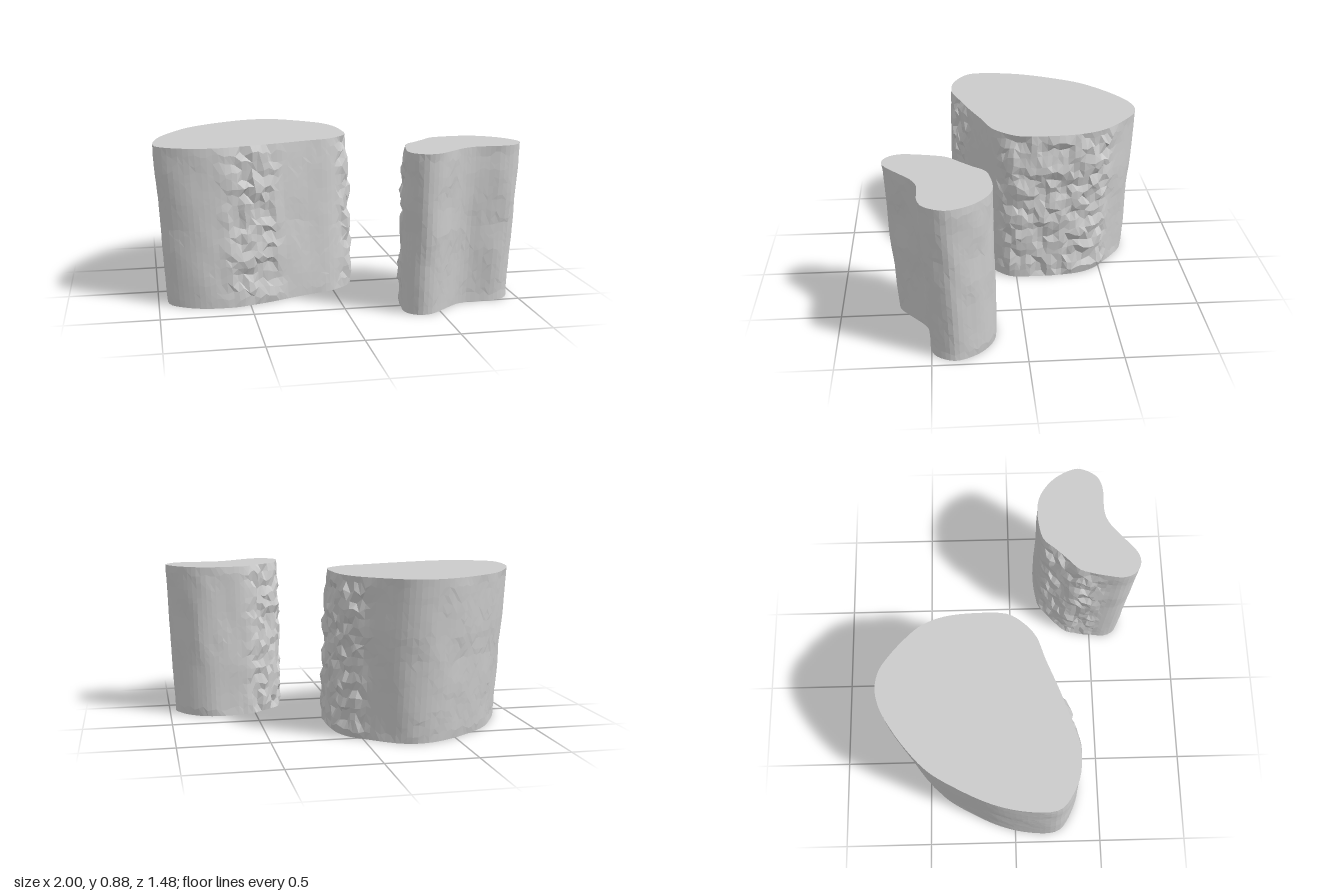
import * as THREE from 'three';

const HEIGHT = 0.885;
const ROWS = 20;

// Repeatable noise in 0..1 for a grid cell
function hash(i, j, seed) {
  const s = Math.sin(i * 127.1 + j * 311.7 + seed * 74.7) * 43758.5453;
  return s - Math.floor(s);
}

// Blended noise, periodic in u
function smoothNoise(u, v, period, seed) {
  const i = Math.floor(u), j = Math.floor(v), f = u - i, g = v - j;
  const h = (a, b) => hash(a % period, b, seed);
  const top = h(i, j) * (1 - f) + h(i + 1, j) * f;
  const low = h(i, j + 1) * (1 - f) + h(i + 1, j + 1) * f;
  return top * (1 - g) + low * g;
}

// A rock column: outline at the top, tapered to the foot, with rugged vertical bands.
// The outline runs clockwise seen from above; each band is [x, z, radius, bulge].
function rockColumn({ name, outline, center, count, taper, bands, seed }) {
  const curve = new THREE.CatmullRomCurve3(
    outline.map(([x, z]) => new THREE.Vector3(x, 0, z)), true, 'centripetal');
  const ring = curve.getSpacedPoints(count).slice(0, count);
  const positions = [], index = [];

  for (let j = 0; j <= ROWS; j++) {
    const t = j / ROWS;                      // 0 at the top, 1 at the foot
    const inner = j > 0 && j < ROWS;
    ring.forEach((p, i) => {
      const next = ring[(i + 1) % count], prev = ring[(i + count - 1) % count];
      const tangent = next.clone().sub(prev).normalize();
      let rough = 0, bulge = 0;
      for (const [x, z, radius, amount] of bands) {
        const w = Math.max(0, 1 - (Math.hypot(p.x - x, p.z - z) / radius) ** 2);
        rough = Math.max(rough, w);
        bulge = Math.max(bulge, w * amount);
      }
      // Gentle facets everywhere, jagged ledges inside the bands
      const facets = (smoothNoise(i * 24 / count, j * 0.3, 24, seed) - 0.5) * 0.014;
      const ledge = (hash(i >> 1, j, seed + 3) - 0.5) * 0.034 * rough;
      const swell = bulge * Math.min(1, t * 5);
      const out = swell + (inner ? facets + ledge : 0);
      const slide = inner ? (hash(i, j, seed + 5) - 0.5) * 0.014 * rough : 0;
      const lift = inner ? (hash(i, j, seed + 9) - 0.5) * 0.03 : 0;
      const [x, z] = taper(p.x, p.z);
      positions.push(
        p.x + (x - p.x) * t + tangent.z * out + tangent.x * slide,
        HEIGHT * (1 - t) + lift,
        p.z + (z - p.z) * t - tangent.x * out + tangent.z * slide);
    });
  }

  // Side faces, with the diagonal alternating for a chipped look
  for (let j = 0; j < ROWS; j++) {
    for (let i = 0; i < count; i++) {
      const k = (i + 1) % count;
      const a = j * count + i, b = j * count + k, c = a + count, d = b + count;
      if (hash(i, j, seed + 7) > 0.5) index.push(a, b, d, a, d, c);
      else index.push(a, b, c, b, d, c);
    }
  }

  // Flat cut faces at the top and the foot
  const topCenter = positions.length / 3, footCenter = topCenter + 1;
  const foot = taper(...center);
  positions.push(center[0], HEIGHT, center[1], foot[0], 0, foot[1]);
  for (let i = 0; i < count; i++) {
    const k = (i + 1) % count, base = ROWS * count;
    index.push(topCenter, k, i, footCenter, base + i, base + k);
  }

  const geometry = new THREE.BufferGeometry();
  geometry.setAttribute('position', new THREE.Float32BufferAttribute(positions, 3));
  geometry.setIndex(index);
  geometry.computeVertexNormals();
  const mesh = new THREE.Mesh(geometry,
    new THREE.MeshStandardMaterial({ color: 0xcccccc, flatShading: true }));
  mesh.name = name;
  return mesh;
}

export function createModel() {
  const group = new THREE.Group();
  group.name = 'rockColumns';

  // Wide egg-shaped rock at the back
  group.add(rockColumn({
    name: 'largeRock',
    outline: [
      [-1, 0.18], [-0.99, 0.02], [-0.95, -0.13], [-0.87, -0.3], [-0.77, -0.46],
      [-0.64, -0.58], [-0.51, -0.67], [-0.41, -0.72], [-0.31, -0.74], [-0.21, -0.72],
      [-0.12, -0.66], [-0.03, -0.58], [0.04, -0.5], [0.09, -0.38], [0.11, -0.2],
      [0.1, -0.02], [0.05, 0.06], [-0.03, 0.13], [-0.17, 0.18], [-0.35, 0.25],
      [-0.5, 0.3], [-0.65, 0.345], [-0.8, 0.34], [-0.92, 0.29], [-0.98, 0.24],
    ],
    center: [-0.42, -0.15],
    count: 110,
    taper: (x, z) => [x * 0.97 + 0.022, z * 0.963 + 0.033],
    bands: [
      [-0.5, 0.3, 0.2, 0.01], [0.06, -0.46, 0.17, 0.01], [0.1, 0, 0.13, 0.01],
      [0.11, -0.25, 0.2, 0.005],
    ],
    seed: 2,
  }));

  // Narrow bean-shaped rock in front
  group.add(rockColumn({
    name: 'smallRock',
    outline: [
      [0.305, 0.64], [0.315, 0.55], [0.335, 0.46], [0.36, 0.39], [0.42, 0.33],
      [0.49, 0.26], [0.55, 0.195], [0.65, 0.17], [0.75, 0.165], [0.82, 0.18],
      [0.9, 0.23], [0.96, 0.3], [1, 0.4], [0.985, 0.46], [0.94, 0.52],
      [0.87, 0.545], [0.78, 0.545], [0.7, 0.55], [0.64, 0.575], [0.57, 0.63],
      [0.5, 0.69], [0.45, 0.725], [0.39, 0.735], [0.33, 0.7],
    ],
    center: [0.6, 0.42],
    count: 70,
    taper: (x, z) => [0.305 + (x - 0.305) * 0.95, 0.155 + (z - 0.165) * 0.92],
    bands: [[0.42, 0.31, 0.2, 0.025], [0.34, 0.45, 0.12, 0.01]],
    seed: 11,
  }));

  return group;
}
